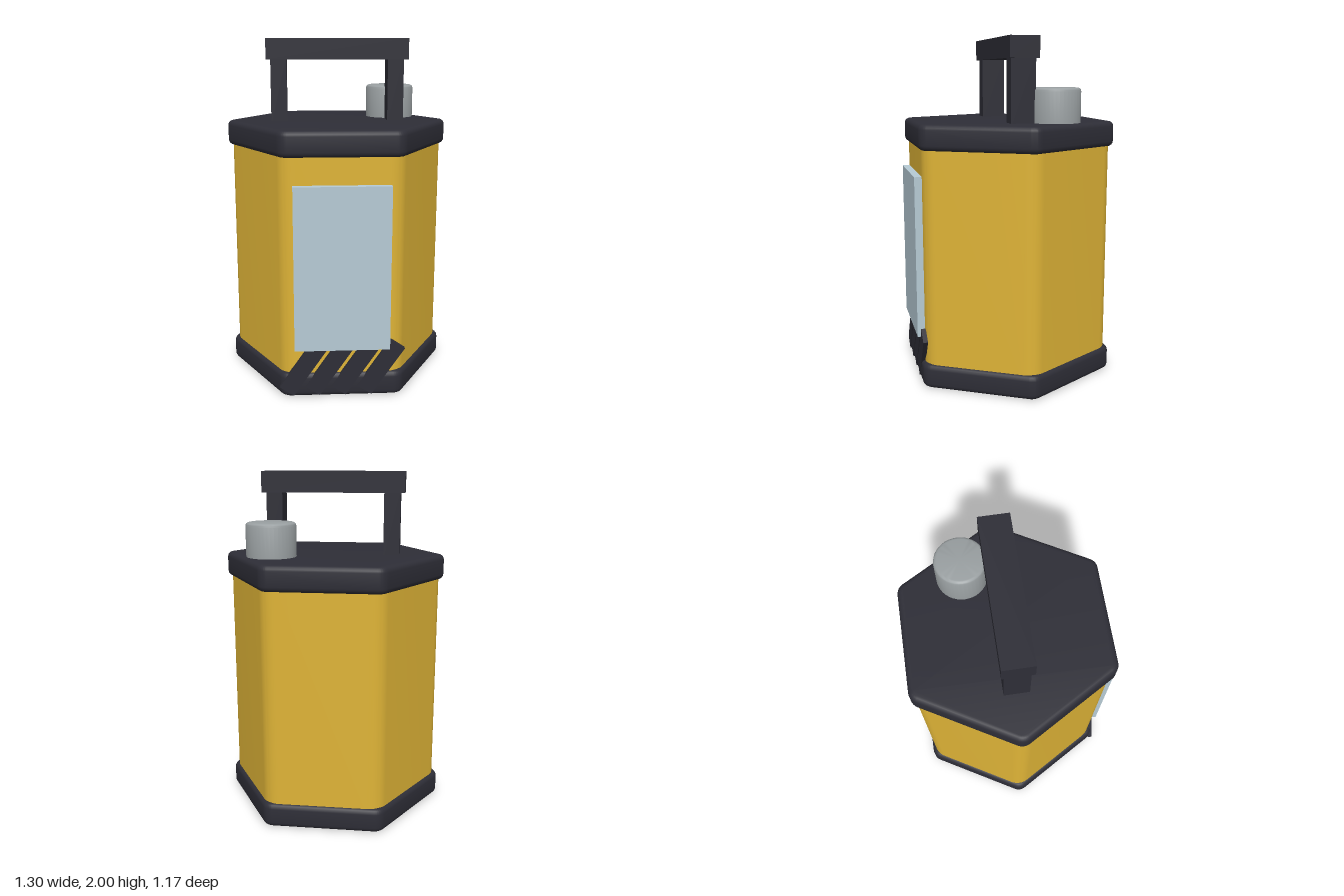
import * as THREE from 'three';
import { toCreasedNormals } from 'three/addons/utils/BufferGeometryUtils.js';

const CZ = -0.01; // z of the main axis

function mat(name, color) {
  const m = new THREE.MeshStandardMaterial({ color });
  m.name = name;
  return m;
}

// Hexagon with rounded corners, flat sides facing front and back
function hexShape(apothem, radius) {
  const s = new THREE.Shape();
  const d = (apothem - radius) / Math.cos(Math.PI / 6);
  for (let i = 0; i < 6; i++) {
    const a = (i * Math.PI) / 3;
    s.absarc(d * Math.cos(a), d * Math.sin(a), radius, a - Math.PI / 6, a + Math.PI / 6, false);
  }
  s.closePath();
  return s;
}

// Upright hexagonal prism from y0 to y1 with rounded rims
function hexPrism(apothem, radius, y0, y1, bevel) {
  const geo = new THREE.ExtrudeGeometry(hexShape(apothem - bevel, radius - bevel), {
    depth: y1 - y0 - 2 * bevel,
    bevelEnabled: bevel > 0,
    bevelSize: bevel,
    bevelThickness: bevel,
    bevelSegments: 4,
    curveSegments: 6,
  });
  geo.rotateX(-Math.PI / 2);
  geo.translate(0, y0 + bevel, CZ);
  return toCreasedNormals(geo, 0.6);
}

export function createModel() {
  const group = new THREE.Group();
  const yellow = mat('yellow shell', 0xdfb437);
  const dark = mat('dark rubber', 0x2e2e37);
  const pale = mat('pale panel', 0xb7cbd5);
  const grey = mat('grey metal', 0x999fa1);

  function add(name, geo, material, x = 0, y = 0, z = 0) {
    const mesh = new THREE.Mesh(geo, material);
    mesh.name = name;
    mesh.position.set(x, y, z);
    group.add(mesh);
    return mesh;
  }

  // Hexagonal body between two bumpers
  add('body', hexPrism(0.553, 0.11, 0.1, 1.42, 0), yellow);
  add('bottomBumper', hexPrism(0.572, 0.07, 0.005, 0.147, 0.03), dark);
  add('topBumper', hexPrism(0.572, 0.07, 1.38, 1.525, 0.03), dark);

  // Carry handle
  for (const side of [-1, 1]) {
    add(side > 0 ? 'leftHandlePost' : 'rightHandlePost',
      new THREE.BoxGeometry(0.094, 0.4, 0.142), dark, side * 0.343, 1.7, CZ);
  }
  add('handleBar', new THREE.BoxGeometry(0.832, 0.12, 0.17), dark, 0, 1.94, CZ);

  // Round cap on top, with softened rim
  const r = 0.145, h = 0.22, b = 0.02;
  const profile = [new THREE.Vector2(0, 0), new THREE.Vector2(r, 0)];
  for (let i = 0; i <= 4; i++) {
    const a = (i * Math.PI) / 8;
    profile.push(new THREE.Vector2(r - b + b * Math.cos(a), h - b + b * Math.sin(a)));
  }
  profile.push(new THREE.Vector2(0, h));
  add('fillerCap', toCreasedNormals(new THREE.LatheGeometry(profile, 40), 0.6), grey, 0.34, 1.5, -0.21);

  // Front panel
  add('frontPanel', new THREE.BoxGeometry(0.536, 0.935, 0.05), pale, 0, 0.763, 0.56);

  // Slanted stripes
  for (let i = 0; i < 4; i++) {
    const stripe = add('stripe' + (i + 1), new THREE.BoxGeometry(0.097, 0.333, 0.027), dark,
      (i - 1.5) * 0.147, 0.18, 0.552);
    stripe.rotation.z = -0.6;
  }
  return group;
}
